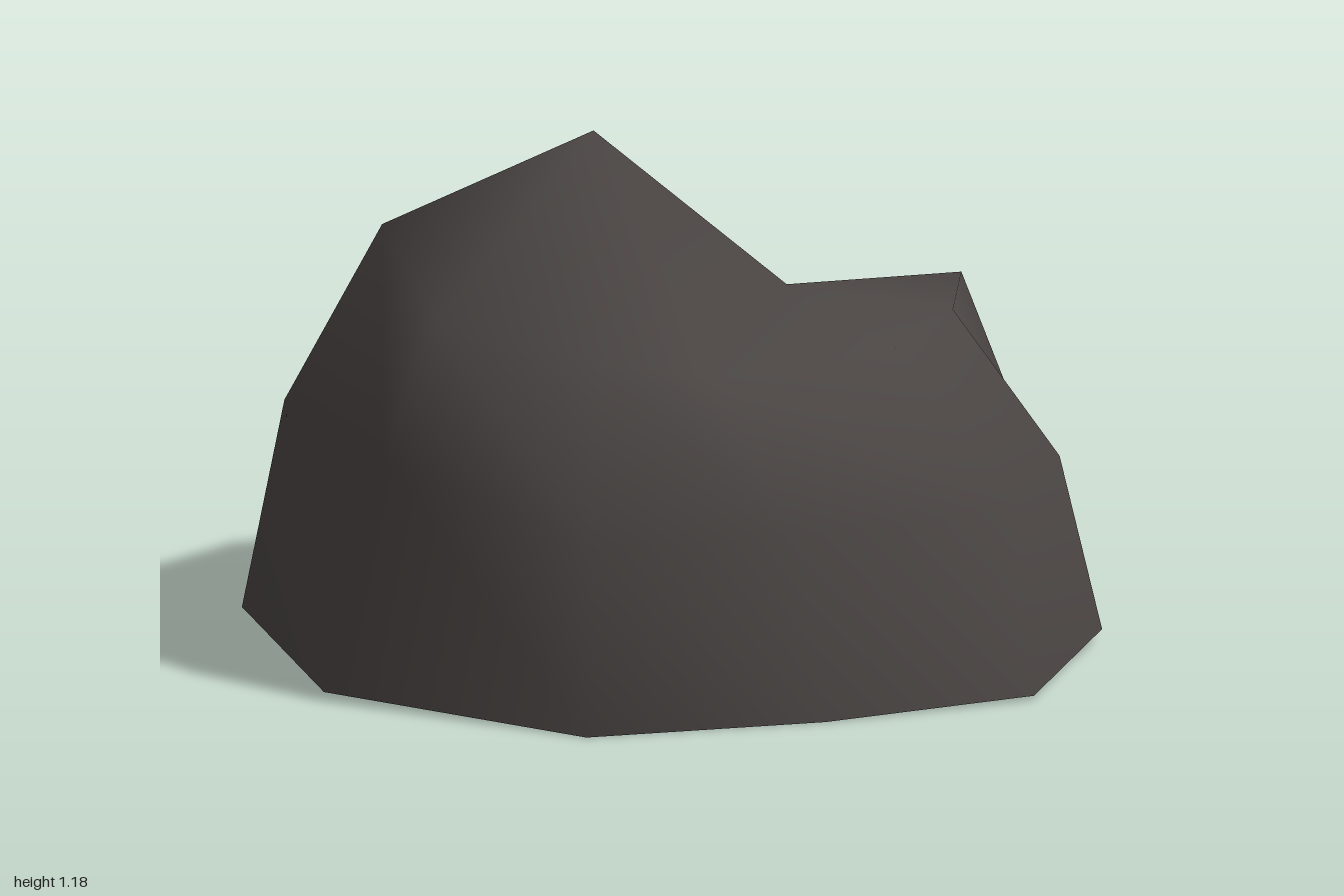
import * as THREE from 'three';

// Outline of the open shell, clockwise from above: left, back, right, front.
const baseRing = [
  [-1, 0.03, 0.02], [-0.58, 0.03, -0.71], [-0.02, 0.03, -0.98], [0.33, 0.04, -0.89], [0.84, 0.05, -0.7],
  [1, 0.03, -0.12], [0.94, 0.01, 0.45], [0.5, 0, 0.74], [-0.02, 0, 0.98], [-0.68, 0.02, 0.74],
];
const middleRing = [
  [-0.9, 0.53, 0.02], [-0.54, 0.53, -0.63], [-0.04, 0.42, -0.94], [0.29, 0.3, -0.85], [0.71, 0.4, -0.64],
  [0.9, 0.44, -0.12], [0.88, 0.44, 0.34], [0.42, 0.43, 0.7], [-0.03, 0.43, 0.89], [-0.56, 0.56, 0.63],
];
const upperRing = [
  [-0.67, 0.96, 0.02], [-0.5, 0.79, -0.55], [-0.12, 0.81, -0.8], [0.2, 0.52, -0.76], [0.6, 0.77, -0.51],
  [0.67, 0.81, 0], [0.6, 0.805, 0.37], [0.22, 0.78, 0.62], [-0.05, 0.82, 0.66], [-0.45, 0.875, 0.55],
];
const peak = [-0.19, 1.18, -0.08];
const ledgeCorner = [0.27, 0.84, -0.05];

export function createModel() {
  const n = baseRing.length;
  const rings = [baseRing, middleRing, upperRing];
  const points = [...rings.flat(), peak, ledgeCorner];
  const P = 3 * n, L = P + 1;
  const faces = [];

  // Sloping sides between the rings
  for (let r = 0; r < 2; r++) {
    for (let i = 0; i < n; i++) {
      const j = (i + 1) % n;
      const a = r * n + i, b = r * n + j;
      faces.push(a, a + n, b + n, a, b + n, b);
    }
  }
  // Crown: the ledge side fans to its corner, the rest fans to the peak
  const notchStart = 2, notchEnd = 7, top = 2 * n;
  for (let i = 0; i < n; i++) {
    const tip = i >= notchStart && i < notchEnd ? L : P;
    faces.push(top + i, tip, top + (i + 1) % n);
  }
  faces.push(P, L, top + notchStart, P, top + notchEnd, L);

  const geometry = new THREE.BufferGeometry();
  geometry.setAttribute('position', new THREE.Float32BufferAttribute(points.flat(), 3));
  geometry.setIndex(faces);
  geometry.computeVertexNormals();

  const stone = new THREE.MeshStandardMaterial({ color: 0x4a4543, side: THREE.DoubleSide });
  stone.name = 'dark stone';
  const rock = new THREE.Mesh(geometry, stone);
  rock.name = 'rock';

  const group = new THREE.Group();
  group.name = 'boulder';
  group.add(rock);
  return group;
}
